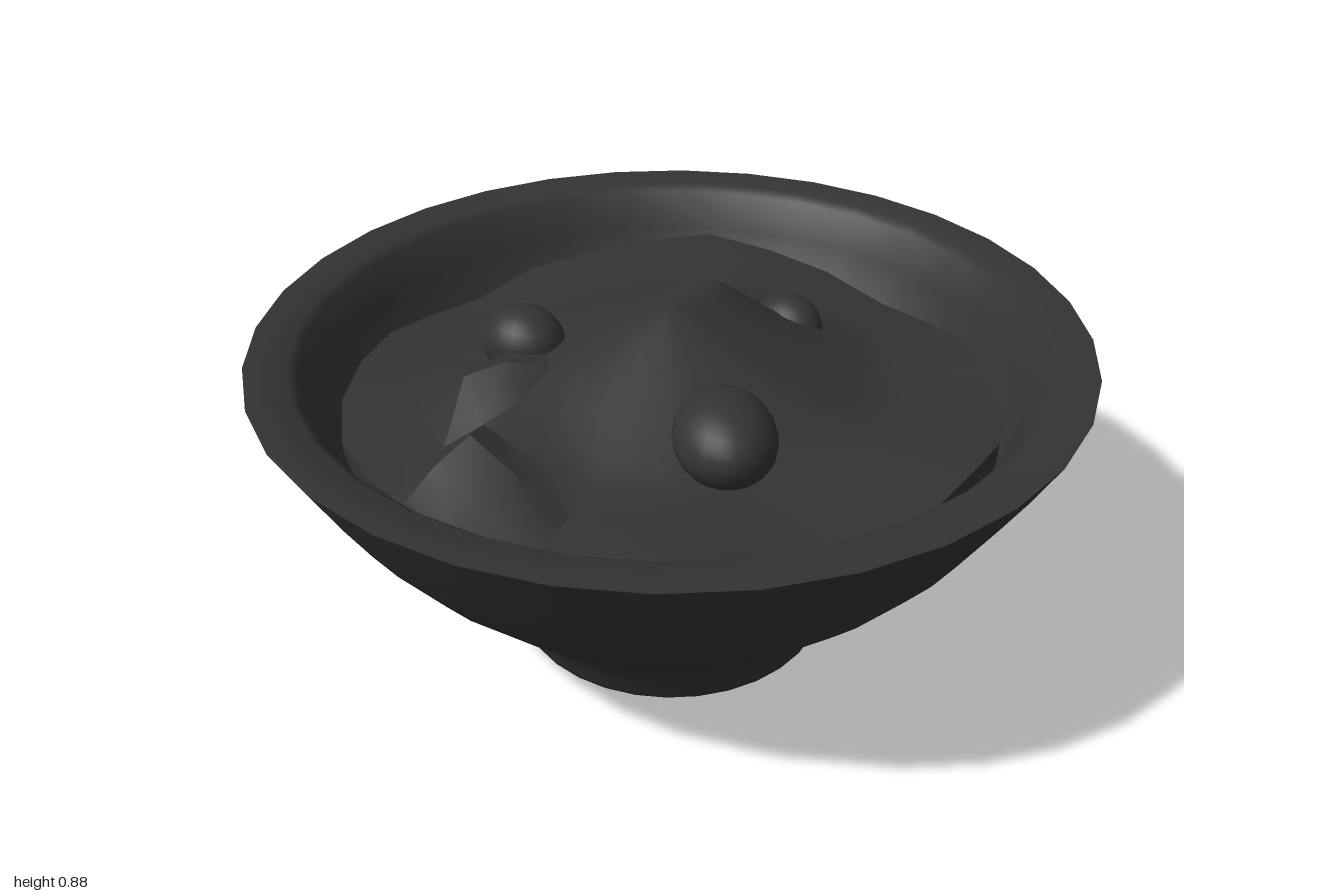
import * as THREE from 'three';
import { toCreasedNormals } from 'three/addons/utils/BufferGeometryUtils.js';

const material = new THREE.MeshStandardMaterial({ color: 0x333333 });

function part(name, geometry) {
  const mesh = new THREE.Mesh(geometry, material);
  mesh.name = name;
  return mesh;
}

const lathe = (profile, sides) =>
  new THREE.LatheGeometry(profile.map(([r, y]) => new THREE.Vector2(r, y)), sides);

// Bowl: underside recess, rounded foot, flared wall, flat rim, inner wall
function makeBowl() {
  const profile = [
    [0, 0.07], [0.26, 0.065], [0.31, 0.045], [0.345, 0.012], [0.375, 0], [0.398, 0.008],
    [0.408, 0.03], [0.425, 0.075], [0.47, 0.14], [0.53, 0.205], [0.6, 0.272], [0.68, 0.35],
    [0.755, 0.428], [0.82, 0.508], [0.876, 0.592], [0.94, 0.697], [1, 0.806],
    [0.9, 0.806], [0.88, 0.79], [0.84, 0.7], [0.78, 0.58], [0.62, 0.42],
    [0.4, 0.27], [0, 0.22],
  ];
  return part('bowl', toCreasedNormals(lathe(profile, 32), 1.3));
}

// Filling: a central peak falling to a low, uneven plain with a short skirt
const bumps = [ // x, z, height, width
  [0.2, -0.08, 0.075, 0.12], [-0.41, -0.22, 0.13, 0.11], [-0.62, 0.05, 0.14, 0.12],
  [0.58, -0.55, 0.06, 0.18], [0.11, 0.75, 0.06, 0.22], [-0.55, 0.55, 0.07, 0.22],
  [0, -0.78, -0.05, 0.2], [0.8, 0.08, -0.05, 0.2], [-0.2, -0.42, -0.02, 0.14],
];

function moundHeight(x, z) {
  let y = Math.max(0.88 - 0.42 * Math.hypot(x, z), 0.66);
  for (const [bx, bz, h, w] of bumps)
    y += h * Math.exp(-((x - bx) ** 2 + (z - bz) ** 2) / (w * w));
  return Math.min(y, 0.88);
}

function makeFilling() {
  const rings = [0.79, 0.78, 0.7, 0.6, 0.5, 0.4, 0.3, 0.2, 0.1, 0];
  const geometry = lathe([[0.785, 0.54], ...rings.map((r) => [r, 1])], 28);
  const p = geometry.attributes.position;
  for (let i = 0; i < p.count; i++) {
    const a = Math.atan2(p.getX(i), p.getZ(i));
    const r = Math.hypot(p.getX(i), p.getZ(i));
    const edge = 1 + r * (0.022 * Math.cos(a + 0.5) + 0.01 * Math.sin(5 * a) + 0.008 * Math.cos(9 * a));
    const x = p.getX(i) * edge, z = p.getZ(i) * edge;
    const ripple = r * r * 0.015 * Math.sin(7 * a);
    p.setXYZ(i, x, p.getY(i) < 0.9 ? 0.54 : moundHeight(x, z) + ripple, z);
  }
  geometry.computeVertexNormals();
  return part('filling', toCreasedNormals(geometry, 0.5));
}

// Rounded lumps half sunk into the filling
function makeLump([x, y, z], [rx, ry, rz], turn) {
  const geometry = new THREE.SphereGeometry(1, 20, 14);
  const p = geometry.attributes.position;
  for (let i = 0; i < p.count; i++) // slight egg-like taper
    p.setX(i, p.getX(i) * (1 - 0.06 * p.getZ(i)));
  geometry.scale(rx, ry, rz);
  const lump = part('lump', geometry);
  lump.position.set(x, y, z);
  lump.rotation.y = turn;
  return lump;
}

export function createModel() {
  const model = new THREE.Group();
  model.name = 'filledBowl';
  model.add(
    makeBowl(),
    makeFilling(),
    makeLump([-0.2, 0.778, 0.38], [0.115, 0.1, 0.15], 2.55),
    makeLump([-0.215, 0.75, -0.295], [0.095, 0.09, 0.108], 0.2),
    makeLump([0.42, 0.672, -0.005], [0.08, 0.085, 0.1], 0),
  );
  return model;
}
